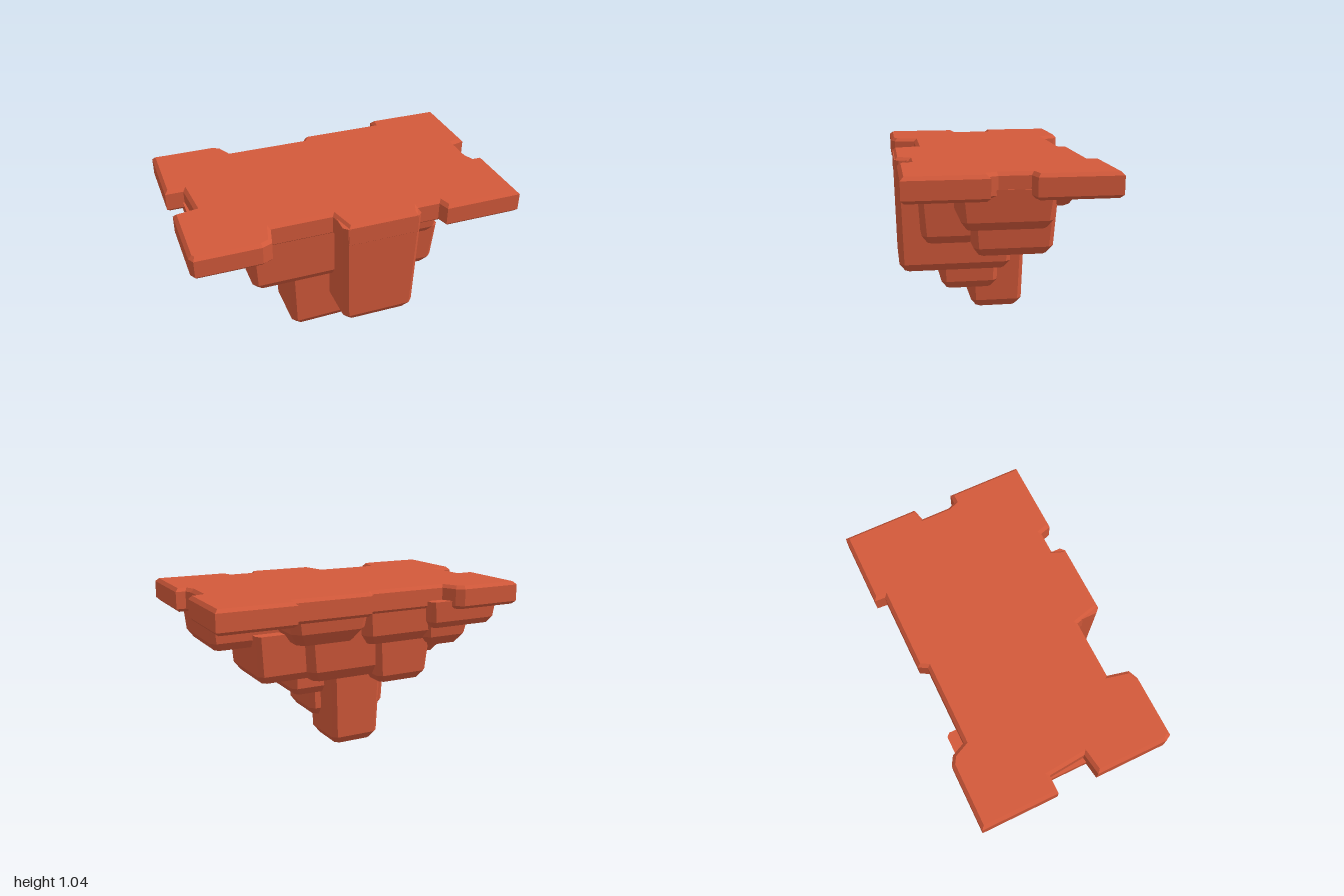
import * as THREE from 'three';
import { ConvexGeometry } from 'three/addons/geometries/ConvexGeometry.js';

const rock = new THREE.MeshStandardMaterial({ color: 0xd2593a, flatShading: true });
rock.name = 'red rock';

// Chipped block: three eight-sided rings, narrowing to a bevelled underside
function block(name, x0, x1, y0, y1, z0, z1, bevel = 0.04, skew = 0) {
  const points = [];
  const ring = (y, inset, c) => {
    const a = x0 + inset, b = x1 - inset, f = z1 - inset, k = z0 + inset;
    for (const [x, z] of [[a + c, k], [b - c, k], [b, k + c], [b, f - c],
      [b - c, f], [a + c, f], [a, f - c], [a, k + c]]) {
      points.push(new THREE.Vector3(x, y + skew * (x - x0) / (x1 - x0), z));
    }
  };
  ring(y1, 0, bevel * 0.5);
  ring(y0 + bevel, bevel * 0.3, bevel * 0.6);
  ring(y0, bevel, bevel * 0.5);
  const mesh = new THREE.Mesh(new ConvexGeometry(points), rock);
  mesh.name = name;
  return mesh;
}

// Flat platform with notched edges, given as x, z corners
function platform() {
  const outline = [
    [-1, -0.6], [-0.6, -0.6], [-0.55, -0.57], [-0.51, -0.485], [-0.01, -0.485], [0.02, -0.535],
    [0.52, -0.535], [0.525, -0.6], [1, -0.6], [1, -0.13], [0.92, -0.11], [0.92, 0.07],
    [0.94, 0.12], [1, 0.12], [1, 0.59], [0.52, 0.59], [0.5, 0.52], [0.36, 0.52],
    [0.33, 0.6], [-0.1, 0.6], [-0.14, 0.44], [-0.51, 0.44], [-0.54, 0.57], [-0.6, 0.595],
    [-0.98, 0.595], [-1, 0.56], [-1, 0.12], [-0.87, 0.1], [-0.89, -0.13], [-1, -0.13],
  ];
  const shape = new THREE.Shape(outline.map(([x, z]) => new THREE.Vector2(x, -z)));
  const bevel = 0.02;
  const geometry = new THREE.ExtrudeGeometry(shape, {
    depth: 0.145 - 2 * bevel, bevelThickness: bevel, bevelSize: bevel,
    bevelOffset: -bevel, bevelSegments: 1,
  });
  geometry.rotateX(-Math.PI / 2).translate(0, 0.9 + bevel, 0);
  const mesh = new THREE.Mesh(geometry, rock);
  mesh.name = 'platform';
  return mesh;
}

export function createModel() {
  const group = new THREE.Group();
  group.name = 'floatingRockPlatform';
  group.add(platform());

  // Front faces
  group.add(
    block('frontPillar', -0.13, 0.355, 0.33, 1.03, -0.12, 0.6, 0.05),
    block('frontLeftWall', -0.64, -0.05, 0.58, 1.0, -0.35, 0.435, 0.05),
    block('frontRightLedge', 0.3, 0.51, 0.82, 1.02, 0.1, 0.515, 0.04),
    block('frontRightKnob', 0.25, 0.53, 0.55, 0.84, 0.1, 0.47, 0.05),
  );
  // Steps down the left flank, from -x
  group.add(
    block('leftUpperStep', -0.9, -0.4, 0.78, 0.95, -0.55, 0.28),
    block('leftMiddleStep', -0.75, -0.4, 0.65, 0.85, -0.48, 0.22, 0.06),
    block('leftLowerStep', -0.49, -0.1, 0.43, 0.7, -0.41, 0.2, 0.05),
  );
  // Steps down the right flank, from +x
  group.add(
    block('rightUpperStep', 0.3, 0.925, 0.72, 0.95, -0.26, 0.28, 0.05),
    block('rightMiddleStep', 0.2, 0.66, 0.5, 0.8, -0.32, 0.18, 0.05),
  );
  // Back faces
  group.add(
    block('backLeftWall', -0.61, 0.02, 0.7, 1.0, -0.475, 0, 0.06),
    block('backRightWall', 0, 0.53, 0.75, 1.02, -0.525, 0, 0.08),
    block('backCore', -0.45, 0.36, 0.48, 0.8, -0.38, 0.25, 0.07),
  );
  // Narrow root
  group.add(
    block('lowerRoot', -0.375, 0.2, 0.145, 0.65, -0.06, 0.33, 0.05, 0.015),
    block('rootFoot', -0.235, 0.125, 0, 0.55, -0.235, 0.13, 0.05),
  );
  return group;
}
